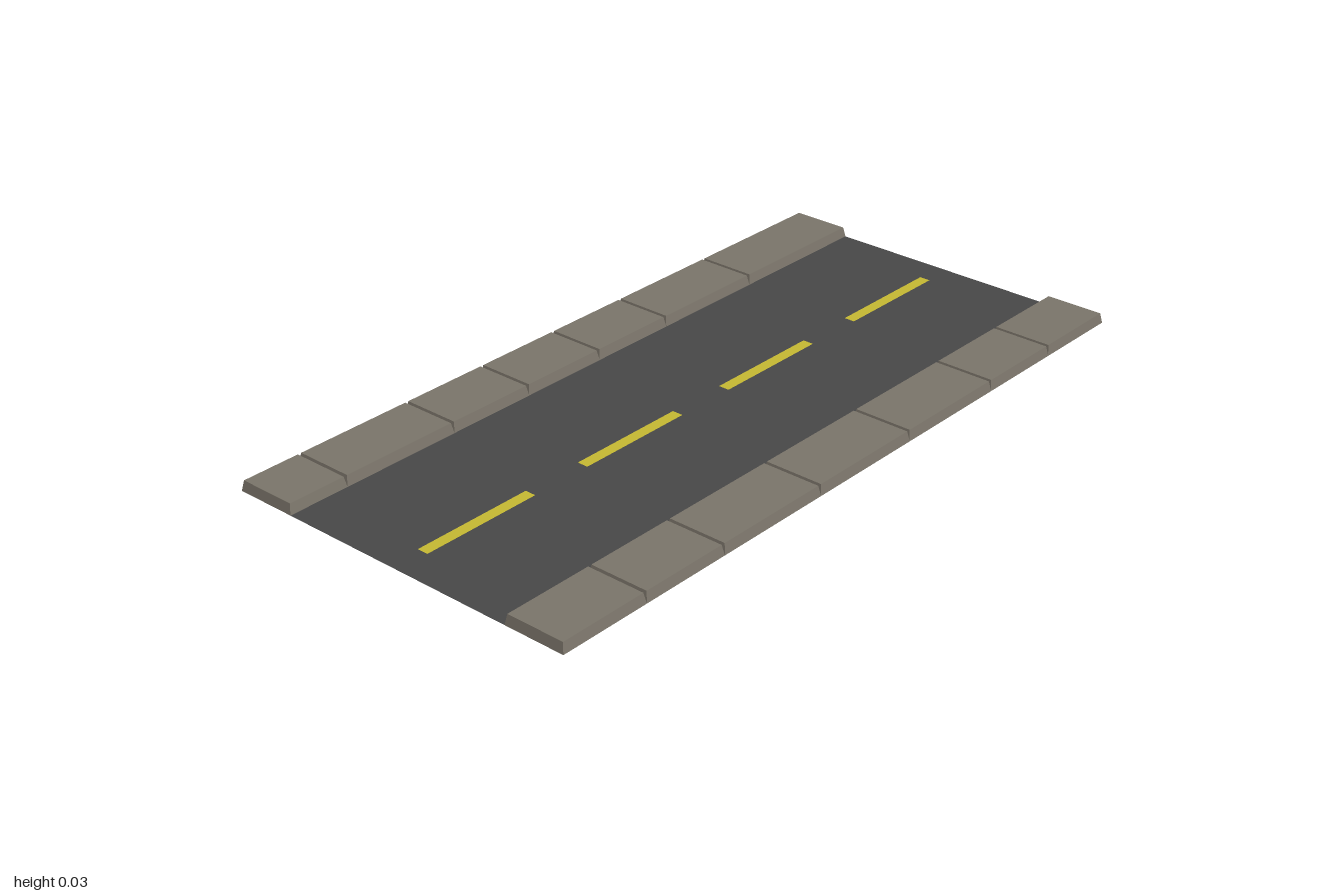
import * as THREE from 'three';

const HEIGHT = 0.027, INSET = 0.005, INNER = 1 / 3, OUTER = 0.5;

const stone = new THREE.MeshStandardMaterial({ color: 0x7b756a, side: THREE.DoubleSide, flatShading: true });
stone.name = 'paving stone';
const asphalt = new THREE.MeshStandardMaterial({ color: 0x484848, side: THREE.DoubleSide });
asphalt.name = 'asphalt grey';
const paint = new THREE.MeshStandardMaterial({ color: 0xc6b932, side: THREE.DoubleSide });
paint.name = 'lane yellow';

// Hollow slab, open underneath, with walls leaning in towards the top
function makeSlab(x0, x1, side) {
  const geo = new THREE.BoxGeometry(x1 - x0, HEIGHT, OUTER - INNER);
  const index = Array.from(geo.index.array);
  index.splice(18, 6); // remove the bottom face
  geo.setIndex(index);
  geo.clearGroups();
  const pos = geo.attributes.position;
  for (let i = 0; i < pos.count; i++) {
    if (pos.getY(i) < 0) continue;
    pos.setX(i, pos.getX(i) - Math.sign(pos.getX(i)) * INSET);
    pos.setZ(i, pos.getZ(i) - Math.sign(pos.getZ(i)) * INSET);
  }
  geo.computeVertexNormals();
  const slab = new THREE.Mesh(geo, stone);
  slab.name = 'pavingSlab';
  slab.position.set((x0 + x1) / 2, HEIGHT / 2, side * (INNER + OUTER) / 2);
  return slab;
}

// Row of slabs between the given joints
function makeSidewalk(name, joints, side) {
  const row = new THREE.Group();
  row.name = name;
  for (let i = 0; i + 1 < joints.length; i++) row.add(makeSlab(joints[i], joints[i + 1], side));
  return row;
}

function makeSheet(name, width, depth, x, y, material) {
  const sheet = new THREE.Mesh(new THREE.PlaneGeometry(width, depth).rotateX(-Math.PI / 2), material);
  sheet.name = name;
  sheet.position.set(x, y, 0);
  return sheet;
}

export function createModel() {
  const model = new THREE.Group();
  model.name = 'roadSection';

  // Road surface and dashed centre line
  model.add(makeSheet('roadSurface', 2, 2 * INNER, 0, 0, asphalt));
  for (const x of [-0.75, -0.25, 0.25, 0.75]) {
    model.add(makeSheet('laneDash', 0.33, 0.03, x, 0.002, paint));
  }

  // Sidewalks along both edges
  model.add(makeSidewalk('frontSidewalk', [-1, -0.75, -0.5, -0.167, 0.167, 0.5, 0.75, 1], 1));
  model.add(makeSidewalk('backSidewalk', [-1, -0.833, -0.5, -0.25, 0, 0.25, 0.583, 1], -1));
  return model;
}
